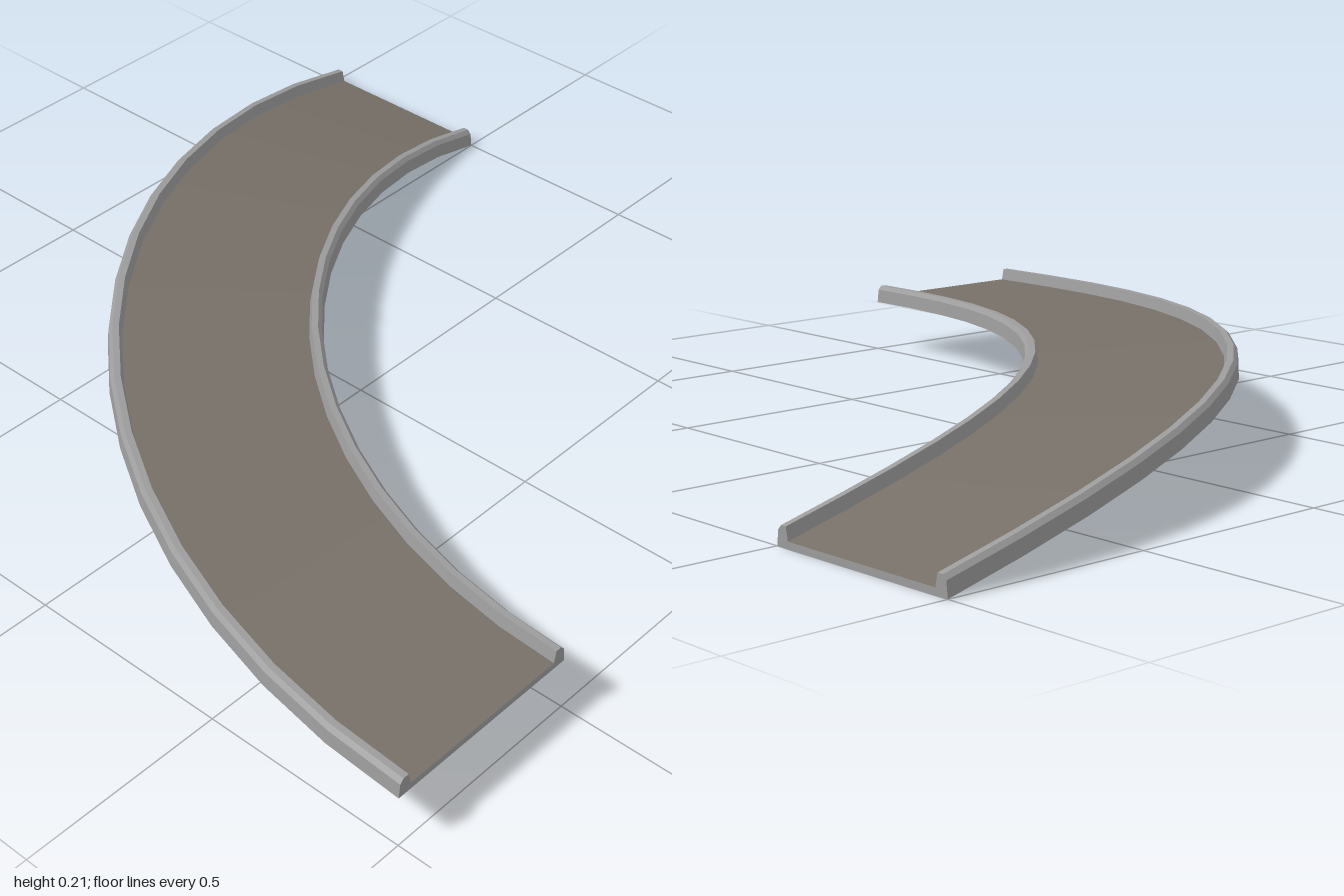
import * as THREE from 'three';

const STEPS = 16, INNER = 1.5, OUTER = 2;

// Cross-section, counter-clockwise: radius and height above the base
const half = [[0, 0], [0.004, 0.034], [0.013, 0.044], [0.028, 0.044], [0.034, 0.015]];
const outerSide = half.map(([d, h]) => [OUTER - d, h]);
const innerSide = half.map(([d, h]) => [INNER + d, h]).reverse();
const profile = [...outerSide, ...innerSide];
const DECK = 4; // profile edge between the two kerbs

// Place a cross-section point at t (0..1) along the quarter turn
function place([r, h], t) {
  const a = t * Math.PI / 2;
  const rise = 0.13 + 0.02 * t + 0.19 * t * t - 0.34 * t ** 3;
  const bank = 0.028 * Math.sin(Math.PI * t ** 1.5) * (r - INNER) / (OUTER - INNER);
  return [1 - r * Math.cos(a), Math.max(0, rise + bank) + h, 1 - r * Math.sin(a)];
}

function makeGeometry(points, index) {
  const g = new THREE.BufferGeometry();
  g.setAttribute('position', new THREE.Float32BufferAttribute(points.flat(), 3));
  g.setIndex(index);
  g.computeVertexNormals();
  return g;
}

// One ribbon swept along the curve for one edge of the cross-section
function ribbon(p, q) {
  const points = [], index = [];
  for (let i = 0; i <= STEPS; i++) {
    points.push(place(p, i / STEPS), place(q, i / STEPS));
    if (i < STEPS) {
      const k = 2 * i;
      index.push(k, k + 1, k + 3, k, k + 3, k + 2);
    }
  }
  return makeGeometry(points, index);
}

// Flat end of the road
function endCap(t) {
  const outline = profile.map(([r, h]) => new THREE.Vector2(r, h));
  const faces = THREE.ShapeUtils.triangulateShape(outline, []);
  const index = faces.flatMap(([a, b, c]) => (t === 1 ? [a, b, c] : [a, c, b]));
  return makeGeometry(profile.map((p) => place(p, t)), index);
}

export function createModel() {
  const asphalt = new THREE.MeshStandardMaterial({ color: 0x777068 });
  asphalt.name = 'asphalt';
  const concrete = new THREE.MeshStandardMaterial({ color: 0x9c9c9c });
  concrete.name = 'concrete';

  const model = new THREE.Group();
  model.name = 'curvedRoad';
  const add = (name, geometry, material, parent = model) => {
    const mesh = new THREE.Mesh(geometry, material);
    mesh.name = name;
    parent.add(mesh);
  };

  const outerKerb = new THREE.Group();
  outerKerb.name = 'outerKerb';
  const innerKerb = new THREE.Group();
  innerKerb.name = 'innerKerb';
  model.add(outerKerb, innerKerb);

  // Road surface, kerbs and underside
  profile.forEach((p, i) => {
    const g = ribbon(p, profile[(i + 1) % profile.length]);
    if (i === DECK) add('roadSurface', g, asphalt);
    else if (i === profile.length - 1) add('underside', g, concrete);
    else add('kerbFace', g, concrete, i < DECK ? outerKerb : innerKerb);
  });

  // Ends
  add('startEnd', endCap(0), concrete);
  add('finishEnd', endCap(1), concrete);
  return model;
}
